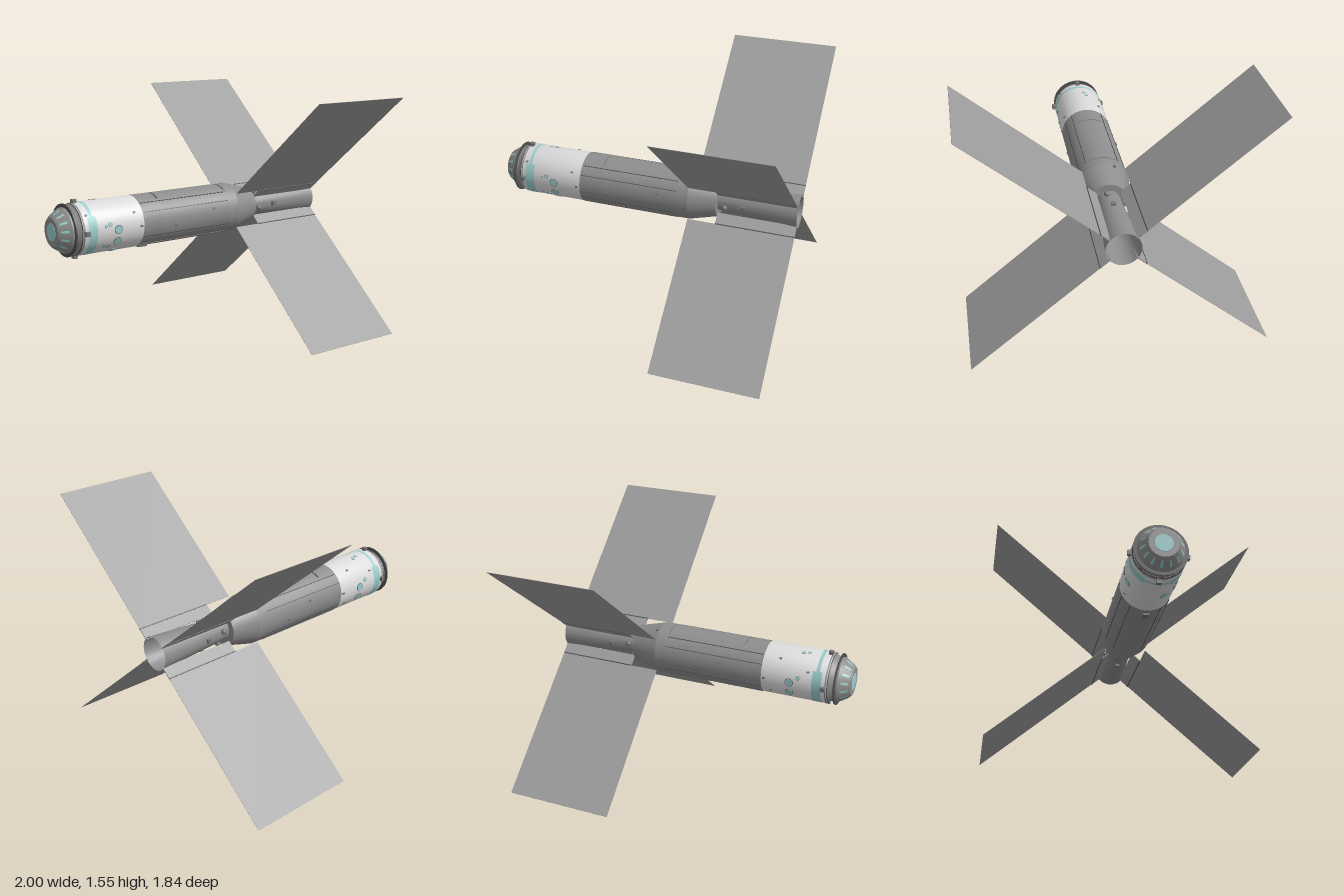
import * as THREE from 'three';
import { toCreasedNormals } from 'three/addons/utils/BufferGeometryUtils.js';

const mat = (name, color, side = THREE.FrontSide) => {
  const m = new THREE.MeshStandardMaterial({ color, side });
  m.name = name;
  return m;
};
const rad = THREE.MathUtils.degToRad;

export function createModel() {
  const white = mat('white hull', 0xdcdcdc);
  const grey = mat('grey hull', 0x8e8e8e);
  const tubeGrey = mat('tail grey', 0x8e8e8e, THREE.DoubleSide);
  const dark = mat('dark trim', 0x505050);
  const fitting = mat('fitting grey', 0x777777);
  const teal = mat('teal glass', 0x98cccb);
  const panelGrey = mat('panel grey', 0x9c9c9c, THREE.DoubleSide);

  const model = new THREE.Group();
  model.name = 'spaceTelescope';
  const axis = new THREE.Group();
  axis.name = 'body';
  axis.position.y = 0.775;
  model.add(axis);

  const add = (name, geometry, material) => {
    const mesh = new THREE.Mesh(geometry, material);
    mesh.name = name;
    axis.add(mesh);
    return mesh;
  };

  // Solid of revolution about x from [x, radius] points; angles run from the top towards the front
  const turned = (name, points, material, from = 0, to = 360) => {
    const g = new THREE.LatheGeometry(points.map(([x, r]) => new THREE.Vector2(r, x)),
      Math.max(6, Math.ceil((to - from) / 6)), rad(from - 90), rad(to - from));
    g.rotateZ(-Math.PI / 2);
    return add(name, toCreasedNormals(g, 0.5), material);
  };

  // Fitting on the hull at x, radius and angle
  const fit = (name, geometry, material, x, r, angle) => {
    const mesh = add(name, geometry, material);
    const a = rad(angle);
    mesh.position.set(x, r * Math.cos(a), r * Math.sin(a));
    mesh.rotation.x = a;
    return mesh;
  };

  // Nose with radial glass strips
  turned('nose', [[-1, 0], [-1, 0.09], [-0.985, 0.105], [-0.925, 0.143], [-0.9, 0.143]], grey);
  turned('noseWindow', [[-1.0, 0], [-1.0, 0.055], [-0.99, 0.06]], teal).position.x = -0.002;
  for (let i = 0; i < 14; i++) {
    const a = i * 360 / 14;
    turned('noseStrip', [[-0.986, 0.107], [-0.945, 0.133]], teal, a, a + 7);
  }
  turned('noseRing', [[-0.915, 0.12], [-0.915, 0.165], [-0.907, 0.165], [-0.907, 0.12]], dark);

  // White forward hull
  turned('shoulder', [[-0.908, 0.134], [-0.87, 0.152], [-0.86, 0.163], [-0.845, 0.165]], grey);
  turned('forwardHull', [[-0.868, 0.12], [-0.868, 0.159], [-0.85, 0.165], [-0.44, 0.165]], white);
  turned('seam', [[-0.871, 0.157], [-0.866, 0.162]], dark);

  // Grey main hull, with two slots over the top that show the white core
  turned('core', [[-0.44, 0.14], [0.3, 0.14]], white);
  const slots = [-0.295, 0.225], half = 0.006;
  const edges = [-0.44, ...slots.flatMap(x => [x - half, x + half]), 0.3];
  for (let i = 0; i < edges.length - 1; i++) {
    const a = edges[i], b = edges[i + 1];
    const section = [[a, 0.14], [a, 0.165], [b, 0.165], [b, 0.14]];
    if (i % 2) turned('slotSection', section, grey, 31, 329);
    else turned('mainHull', section, grey);
  }
  for (const x of slots) for (const s of [-1, 1])
    fit('slotEnd', new THREE.BoxGeometry(half * 2, 0.026, 0.002), grey, x, 0.152, s * 31);

  // Long rails along the main hull
  for (const angle of [38, 61, 117, 145, 215, 243, 299, 322])
    fit('rail', new THREE.BoxGeometry(0.66, 0.006, 0.004), dark, -0.105, 0.165, angle);
  fit('bellyBox', new THREE.BoxGeometry(0.06, 0.02, 0.04), fitting, -0.37, 0.165, 176);

  // Cone and flared open tail tube
  turned('rearCone', [[0.3, 0.165], [0.48, 0.118], [0.48, 0.06]], grey);
  turned('tailTube', [[0.47, 0.074], [1, 0.108]], tubeGrey);
  turned('tailFloor', [[0.54, 0.078], [0.54, 0]], grey);

  // Teal band, wide side windows and round ports
  turned('tealBand', [[-0.812, 0.1662], [-0.79, 0.1662]], teal);
  for (const [a, b] of [[55, 152], [208, 305]])
    turned('tealWindow', [[-0.83, 0.1666], [-0.77, 0.1666]], teal, a, b);
  const ports = [[-0.625, 90, 0.028], [-0.625, 117, 0.028], [-0.625, 151, 0.028],
    [-0.68, 77, 0.014], [-0.71, 81, 0.01], [-0.68, 130, 0.014], [-0.71, 126, 0.014],
    [-0.68, -14, 0.014], [-0.715, -10, 0.011],
    [-0.625, 243, 0.028], [-0.625, 270, 0.028], [-0.68, 283, 0.014]];
  for (const [x, angle, r] of ports) {
    fit('portRim', new THREE.CylinderGeometry(r, r, 0.006, 20), fitting, x, 0.164, angle);
    fit('port', new THREE.CylinderGeometry(r * 0.86, r * 0.86, 0.007, 20), teal, x, 0.1645, angle);
  }

  // Small sensors scattered on the hull
  for (const [x, angle] of [[-0.5, 58], [-0.46, 90], [-0.83, 50], [-0.55, 320], [-0.5, 238],
    [-0.46, 270], [-0.74, 300], [-0.2, 100], [0.1, 75], [0.05, 260], [-0.15, 285]])
    fit('sensor', new THREE.BoxGeometry(0.016, 0.012, 0.012), fitting, x, 0.165, angle);
  fit('coneSensor', new THREE.BoxGeometry(0.016, 0.016, 0.016), fitting, 0.32, 0.161, -24);

  // Thruster blocks round the nose and tail, with tanks beside the tail
  for (let i = 0; i < 4; i++) {
    fit('noseThruster', new THREE.BoxGeometry(0.028, 0.04, 0.028), fitting, -0.845, 0.166, i * 90);
    fit('tailThruster', new THREE.BoxGeometry(0.028, 0.024, 0.028), fitting, 0.655, 0.09, i * 90);
    fit('tank', new THREE.SphereGeometry(0.018, 16, 12), fitting, 0.53, 0.088, i * 90 + 12);
  }

  // Four diagonal wing panels on root strips
  const lean = Math.atan2(0.92, 0.775) * 180 / Math.PI;
  for (const angle of [lean, 180 - lean, 180 + lean, -lean]) {
    fit('wingPanel', new THREE.BoxGeometry(0.7, 1.025, 0.002), panelGrey, 0.65, 0.6905, angle);
    fit('wingRoot', new THREE.BoxGeometry(0.515, 0.077, 0.006), panelGrey, 0.7425, 0.1395, angle);
    fit('wingHinge', new THREE.BoxGeometry(0.515, 0.006, 0.009), dark, 0.7425, 0.178, angle);
  }
  return model;
}
